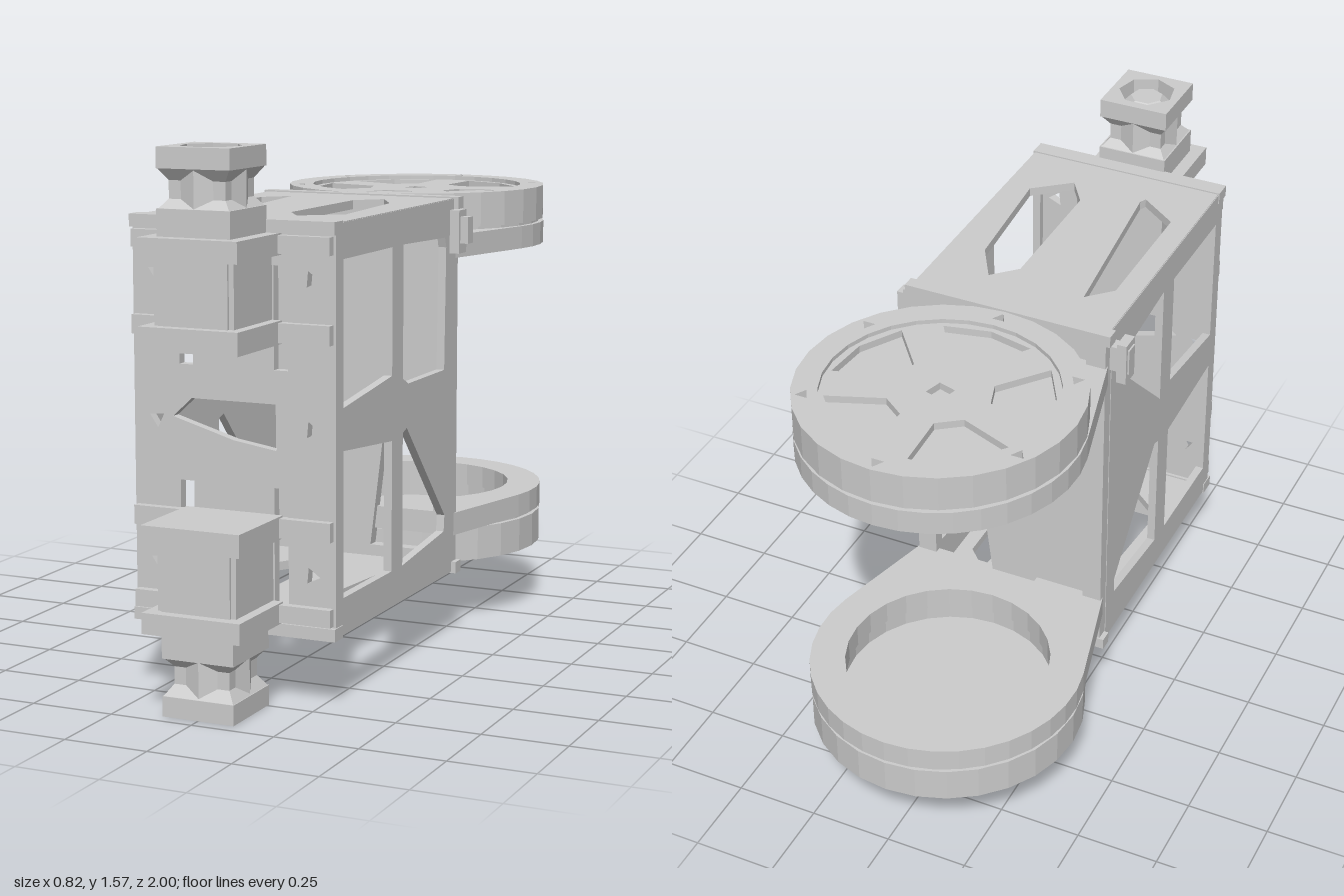
import * as THREE from 'three';

const material = new THREE.MeshStandardMaterial({ color: 0xcccccc, flatShading: true, side: THREE.DoubleSide });
const MID = 0.785; // height of the mirror plane between upper and lower halves

function add(parent, name, geometry) {
  const mesh = new THREE.Mesh(geometry, material);
  mesh.name = name;
  parent.add(mesh);
  return mesh;
}

function box(parent, name, x0, x1, y0, y1, z0, z1) {
  const g = new THREE.BoxGeometry(x1 - x0, y1 - y0, z1 - z0);
  return add(parent, name, g.translate((x0 + x1) / 2, (y0 + y1) / 2, (z0 + z1) / 2));
}

const points = list => list.map(([x, y]) => new THREE.Vector2(x, y));
const ringPoints = (r, n, cx = 0, cy = 0, start = 0) => Array.from({ length: n }, (_, i) => {
  const a = start + (i / n) * Math.PI * 2;
  return [cx + r * Math.cos(a), cy + r * Math.sin(a)];
});
const flipX = list => list.map(([x, y]) => [-x, y]);
const rect = (x0, x1, y0, y1) => [[x0, y0], [x1, y0], [x1, y1], [x0, y1]];

// Plate cut from an outline with holes, extruded along +z
function plate(outline, holes, depth) {
  const shape = new THREE.Shape(points(outline));
  holes.forEach(h => shape.holes.push(new THREE.Path(points(h))));
  return new THREE.ExtrudeGeometry(shape, { depth, bevelEnabled: false });
}
// Same plate laid flat: outline is (x, -z), thickness goes up from y0
const flatPlate = (outline, holes, y0, y1) =>
  plate(outline, holes, y1 - y0).rotateX(-Math.PI / 2).translate(0, y0, 0);

// Round head: closed spoked cover over an open flange that reaches the frame
function buildWheel(parent) {
  const wheel = new THREE.Group();
  wheel.name = 'roundHead';
  parent.add(wheel);
  const cz = 0.59;
  const circle = (r, n = 28) => ringPoints(r, n, 0, cz);

  const screwHoles = Array.from({ length: 6 }, (_, i) => {
    const a = Math.PI / 12 + (i + 0.25) * Math.PI / 3;
    return ringPoints(0.022, 3, 0.375 * Math.cos(a), cz + 0.375 * Math.sin(a), a);
  });
  add(wheel, 'coverRim', flatPlate(circle(0.41), [circle(0.335), ...screwHoles], 1.26, 1.365));
  add(wheel, 'coverFloor', flatPlate(circle(0.345), [], 1.30, 1.33));

  // Five pockets between the spokes
  const pockets = Array.from({ length: 5 }, (_, i) => {
    const a = Math.PI * 0.3 + i * Math.PI * 0.4;
    return [[0.15, -0.28], [0.32, -0.44], [0.32, 0], [0.32, 0.44], [0.15, 0.28]]
      .map(([r, d]) => [r * Math.cos(a + d), cz + r * Math.sin(a + d)]);
  });
  add(wheel, 'spokes', flatPlate(circle(0.345), [...pockets, ringPoints(0.04, 4, 0, cz, 0.5)], 1.33, 1.352));

  // Flange: round at the far end, tapering towards the frame
  const arc = Array.from({ length: 21 }, (_, i) => {
    const a = -0.24 + (i / 20) * (Math.PI + 0.48);
    return [0.41 * Math.cos(a), cz + 0.41 * Math.sin(a)];
  });
  const flange = [[0.31, 0.15], ...arc, [-0.31, 0.15]];
  add(wheel, 'flange', flatPlate(flange, [circle(0.305)], 1.18, 1.25));
  add(wheel, 'spacerRing', flatPlate(circle(0.395), [circle(0.315)], 1.245, 1.305));
}

// Motor held by two collars on the front plate
function buildMotor(parent) {
  const motor = new THREE.Group();
  motor.name = 'motor';
  parent.add(motor);
  box(motor, 'motorBody', -0.12, 0.12, 1.05, 1.3, 0.73, 0.96);
  box(motor, 'motorRib', -0.105, 0.105, 1.05, 1.3, 0.95, 0.968);
  [[1.025, 1.09], [1.27, 1.33]].forEach(([y0, y1]) => {
    box(motor, 'collar', -0.15, 0.15, y0, y1, 0.73, 1.0);
    box(motor, 'strap', -0.305, 0.305, y0 + 0.005, y1 - 0.005, 0.725, 0.755);
  });
  box(motor, 'gearBlock', -0.11, 0.11, 1.33, 1.405, 0.74, 0.96);
  // Pinched square neck
  const profile = [[0.155, 1.40], [0.12, 1.43], [0.12, 1.48], [0.155, 1.515]];
  add(motor, 'neck', new THREE.LatheGeometry(points(profile), 4)
    .rotateY(Math.PI / 4).translate(0, 0, 0.85));
  add(motor, 'neckCore', new THREE.CylinderGeometry(0.105, 0.105, 0.12, 8).translate(0, 1.46, 0.85));
  add(motor, 'endCap', flatPlate(rect(-0.11, 0.11, -0.96, -0.74),
    [ringPoints(0.088, 7, 0, -0.85, 0.2)], 1.512, 1.57));
  add(motor, 'shaftEnd', new THREE.CylinderGeometry(0.05, 0.088, 0.04, 7).translate(0, 1.535, 0.85));
}

// Upper or lower cover of the frame with two long slots
function buildDeck(parent) {
  const slotWide = [[0.13, 0.02], [0.06, -0.05], [0.06, -0.48], [0.12, -0.57], [0.23, -0.48], [0.2, -0.1]];
  const slotNarrow = [[-0.17, 0.01], [-0.24, -0.06], [-0.24, -0.48], [-0.12, -0.57], [-0.11, -0.55]];
  add(parent, 'deck', flatPlate(rect(-0.31, 0.31, -0.73, 0.13), [slotWide, slotNarrow], 1.335, 1.362));
  box(parent, 'frontLip', -0.315, 0.315, 1.33, 1.366, 0.69, 0.745);
  box(parent, 'rearLip', -0.325, 0.325, 1.33, 1.366, -0.175, -0.135);
}

function buildFrame(root) {
  const frame = new THREE.Group();
  frame.name = 'frame';
  root.add(frame);

  // Side plates, outline in (z, y)
  const common = [
    [[0.68, 1.26], [0.34, 1.26], [0.34, 0.89], [0.68, 0.85]],
    [[0.68, 0.73], [0.34, 0.70], [0.34, 0.315], [0.68, 0.315]],
    [[0.26, 0.71], [0.23, 0.72], [-0.07, 0.4], [-0.065, 0.35], [0.26, 0.315]],
  ];
  const upperRear = {
    1: [[0.26, 1.26], [-0.06, 1.25], [-0.07, 1.22], [-0.06, 0.85], [0.22, 0.85], [0.26, 0.87]],
    '-1': [[0.26, 1.26], [-0.07, 1.22], [-0.07, 1.18], [0.26, 0.87]],
  };
  [1, -1].forEach(side => {
    const g = plate(rect(-0.13, 0.73, 0.21, 1.36), [...common, upperRear[side]], 0.025).rotateY(-Math.PI / 2);
    add(frame, side > 0 ? 'leftSidePlate' : 'rightSidePlate', g.translate(side > 0 ? 0.312 : -0.287, 0, 0));
    // Hinge pin at the upper rear corner
    const x = side * 0.34;
    box(frame, 'hingePin', x - 0.03, x + 0.03, 1.23, 1.31, -0.14, -0.1);
    box(frame, 'hingeKnuckle', x - 0.025, x + 0.005, 1.2, 1.33, -0.15, -0.09);
  });

  // Front plate with slots beside the motors and a central opening
  const slots = [];
  [1, -1].forEach(s => {
    slots.push(rect(s * 0.125, s * 0.168, 0.95, 1.24), rect(s * 0.125, s * 0.168, 0.28, 0.62));
    [1.205, 0.79, 0.38].forEach(y => slots.push(ringPoints(0.026, 3, s * 0.24, y, s > 0 ? 2 : 0.6)));
  });
  slots.push([[-0.19, 0.8], [-0.13, 0.855], [0.14, 0.855], [0.18, 0.82], [0.13, 0.725], [0, 0.745]]);
  add(frame, 'frontPlate', plate(rect(-0.31, 0.31, 0.21, 1.36), slots, 0.03).translate(0, 0, 0.7));

  // Rear plate: truss ribs over a thin skin, open at one lower corner
  const opening = [[0.04, 0.27], [0.25, 0.27], [0.25, 0.7], [0.08, 0.6]];
  const pocketLow = [[-0.04, 0.3], [-0.25, 0.3], [-0.25, 0.7]];
  const pocketHigh = [[0.04, 1.27], [0.25, 1.27], [0.25, 0.87]];
  const outline = rect(-0.31, 0.31, 0.21, 1.36);
  add(frame, 'rearSkin', plate(outline, [opening], 0.012).translate(0, 0, -0.142));
  add(frame, 'rearTruss', plate(outline, [opening, pocketLow, pocketHigh, flipX(pocketHigh)], 0.03)
    .translate(0, 0, -0.17));
}

export function createModel() {
  const root = new THREE.Group();
  root.name = 'twinHeadBracket';
  buildFrame(root);
  // Upper half, and the same parts turned over for the lower half
  ['upper', 'lower'].forEach((label, i) => {
    const half = new THREE.Group();
    half.name = label + 'Half';
    buildDeck(half);
    buildWheel(half);
    buildMotor(half);
    if (i) {
      half.rotation.z = Math.PI;
      half.position.y = MID * 2;
    }
    root.add(half);
  });
  return root;
}
